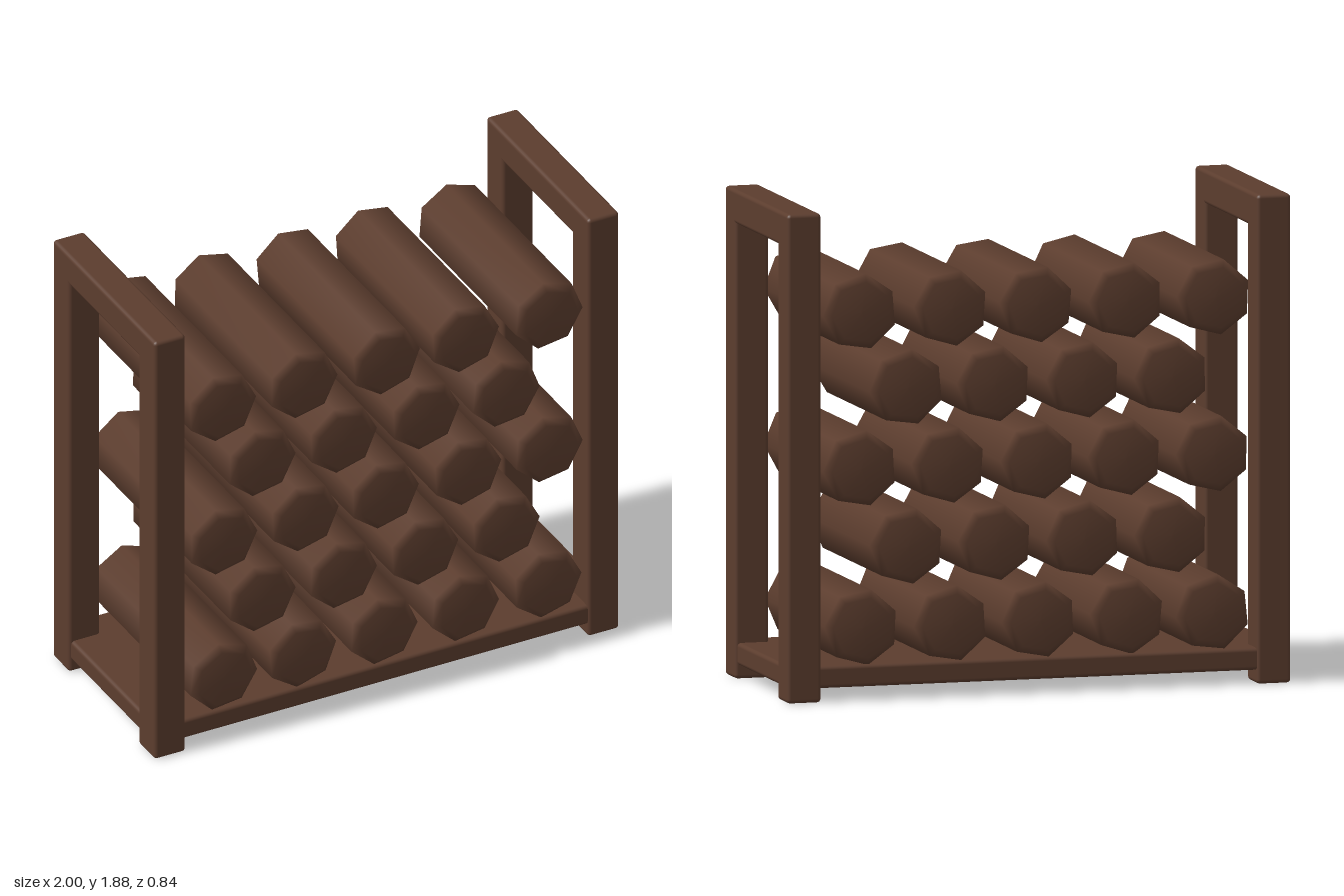
import * as THREE from 'three';
import { RoundedBoxGeometry } from 'three/addons/geometries/RoundedBoxGeometry.js';

export function createModel() {
  const model = new THREE.Group();
  model.name = 'firewoodRack';
  const wood = new THREE.MeshStandardMaterial({ color: 0x5c3d2e });
  wood.name = 'brown wood';

  function bar(name, w, h, d, x, y, z, parent) {
    const mesh = new THREE.Mesh(new RoundedBoxGeometry(w, h, d, 2, 0.015), wood);
    mesh.name = name;
    mesh.position.set(x, y, z);
    parent.add(mesh);
  }

  // Two end frames: a pair of posts joined by a top rail
  for (const side of [-1, 1]) {
    const frame = new THREE.Group();
    frame.name = side > 0 ? 'leftEndFrame' : 'rightEndFrame';
    const x = side * 0.9325;
    for (const end of [-1, 1]) {
      bar(end > 0 ? 'frontPost' : 'backPost', 0.135, 1.88, 0.135, x, 0.94, end * 0.35, frame);
    }
    bar('topRail', 0.135, 0.13, 0.83, x, 1.815, 0, frame);
    model.add(frame);
  }

  // Base board between the feet
  bar('baseBoard', 1.98, 0.085, 0.82, 0, 0.0955, 0, model);

  // Seven-sided log with bevelled ends, lying along z
  const profile = [[0, -0.42], [0.118, -0.418], [0.148, -0.395], [0.148, 0.395], [0.118, 0.418], [0, 0.42]]
    .map(([r, y]) => new THREE.Vector2(r, y));
  const logGeometry = new THREE.LatheGeometry(profile, 7);
  logGeometry.rotateX(Math.PI / 2);
  logGeometry.rotateZ(Math.PI / 2); // one corner points to +x

  let seed = 7;
  const jitter = () => {
    seed = (seed * 16807) % 2147483647;
    return seed / 2147483647 - 0.5;
  };

  // Staggered rows of five and four logs
  const rows = [
    [0.28, [-0.695, -0.355, -0.005, 0.345, 0.7]],
    [0.585, [-0.53, -0.18, 0.17, 0.52]],
    [0.89, [-0.695, -0.345, 0, 0.355, 0.705]],
    [1.195, [-0.53, -0.18, 0.175, 0.52]],
    [1.493, [-0.7, -0.35, 0.005, 0.345, 0.705]],
  ];
  const stack = new THREE.Group();
  stack.name = 'logStack';
  rows.forEach(([y, xs], row) => xs.forEach((x, i) => {
    const log = new THREE.Mesh(logGeometry, wood);
    log.name = `log_${row + 1}_${i + 1}`;
    log.position.set(x, y, 0);
    log.rotation.z = jitter() * 0.2;
    stack.add(log);
  }));
  model.add(stack);
  return model;
}
